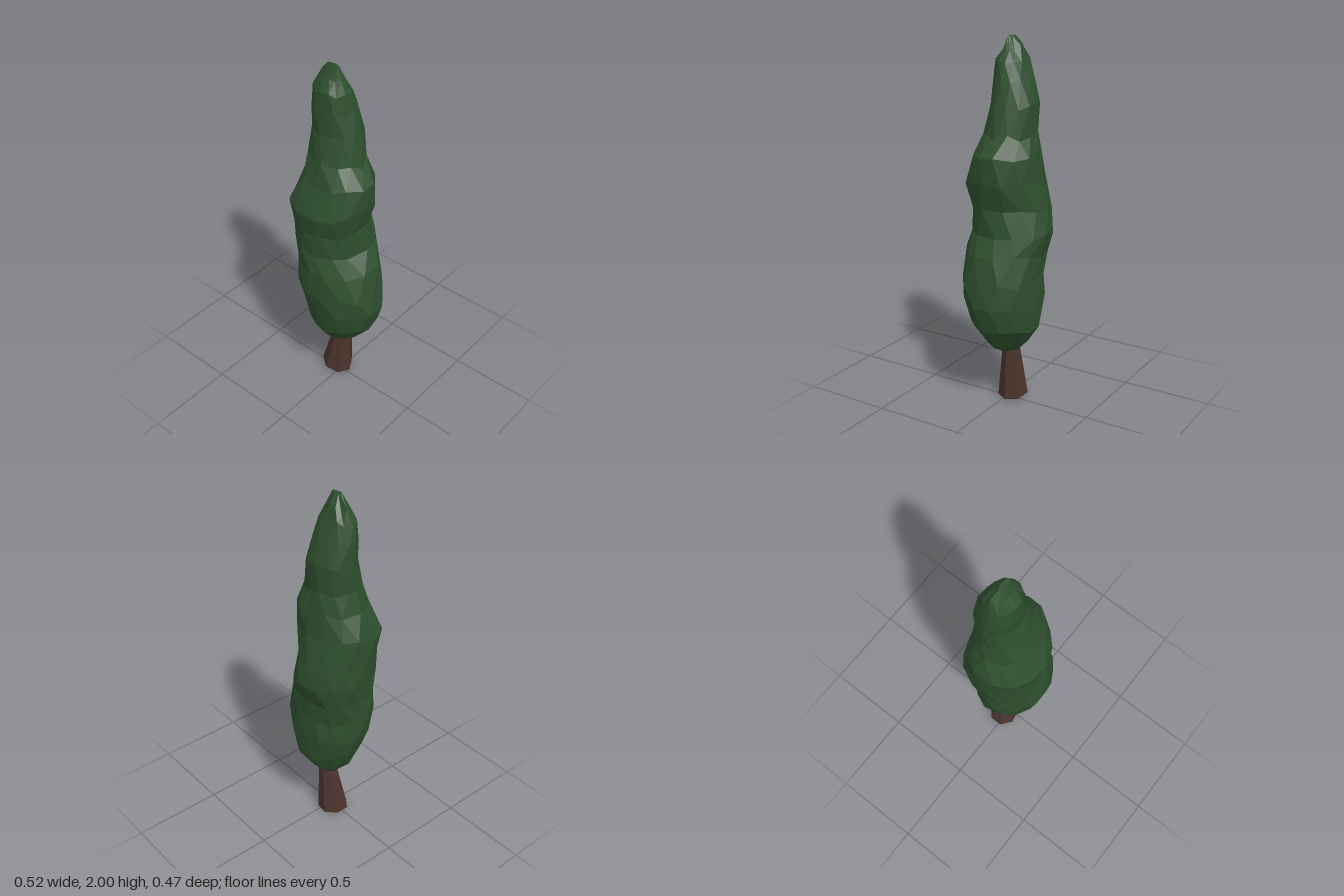
import * as THREE from 'three';

const foliageGreen = new THREE.MeshStandardMaterial({ color: 0x2e4f2e, flatShading: true });
foliageGreen.name = 'foliage green';
const barkBrown = new THREE.MeshStandardMaterial({ color: 0x4a342c, flatShading: true });
barkBrown.name = 'bark brown';

// Small seeded generator, returns -1..1
function seeded(seed) {
  return () => {
    seed = (seed * 16807) % 2147483647;
    return (seed / 2147483647) * 2 - 1;
  };
}

// Closed solid from oval rings; each row is [y, xMin, xMax, zMin, zMax]
function loft(rows, sides, { rough = 0, lift = 0, twist = 0, tilt = 0 } = {}) {
  const rand = seeded(4177);
  const pos = [], index = [];
  const slope = (x) => -tilt * (x + 0.04);
  const last = rows.length - 1;
  rows.forEach(([y, x0, x1, z0, z1], i) => {
    const cx = (x0 + x1) / 2, cz = (z0 + z1) / 2;
    const inner = i > 0 && i < last;
    for (let j = 0; j < sides; j++) {
      const a = ((j + i * twist + rand() * rough * 4) / sides) * Math.PI * 2;
      const r = 1.01 + rand() * rough;
      const x = cx + Math.cos(a) * r * (x1 - x0) / 2;
      const z = cz + Math.sin(a) * r * (z1 - z0) / 2;
      pos.push(x, y + rand() * (inner ? lift : 0) + (i === 0 ? slope(x) : 0), z);
    }
  });
  for (let i = 0; i < last; i++) {
    for (let j = 0; j < sides; j++) {
      const k = (j + 1) % sides;
      const a = i * sides + j, b = i * sides + k, c = a + sides, d = b + sides;
      index.push(a, c, b, b, c, d);
    }
  }
  // End caps
  const end = pos.length / 3;
  [rows[0], rows[last]].forEach(([y, x0, x1, z0, z1], n) => {
    const cx = (x0 + x1) / 2;
    pos.push(cx, y + (n === 0 ? slope(cx) : 0), (z0 + z1) / 2);
  });
  for (let j = 0; j < sides; j++) {
    const k = (j + 1) % sides;
    index.push(end, j, k, end + 1, last * sides + k, last * sides + j);
  }
  const geo = new THREE.BufferGeometry();
  geo.setAttribute('position', new THREE.Float32BufferAttribute(pos, 3));
  geo.setIndex(index);
  const flat = geo.toNonIndexed();
  flat.computeVertexNormals();
  return flat;
}

export function createModel() {
  const group = new THREE.Group();
  group.name = 'cypressTree';

  // Tall lumpy crown: full base, waist, upper bulge and narrow leaning spire
  const crown = [
    [0.29, -0.06, 0.05, -0.06, 0.04],
    [0.345, -0.11, 0.11, -0.12, 0.11],
    [0.46, -0.17, 0.22, -0.18, 0.18],
    [0.6, -0.21, 0.26, -0.2, 0.21],
    [0.73, -0.23, 0.25, -0.2, 0.23],
    [0.86, -0.24, 0.22, -0.2, 0.22],
    [0.98, -0.25, 0.16, -0.235, 0.205],
    [1.11, -0.25, 0.15, -0.21, 0.22],
    [1.25, -0.26, 0.19, -0.18, 0.24],
    [1.39, -0.21, 0.19, -0.17, 0.17],
    [1.5, -0.18, 0.13, -0.145, 0.125],
    [1.65, -0.18, 0.1, -0.15, 0.095],
    [1.78, -0.175, 0.075, -0.11, 0.09],
    [1.87, -0.155, 0.05, -0.08, 0.08],
    [1.94, -0.13, 0.02, -0.05, 0.04],
    [2.0, -0.08, -0.01, -0.012, 0.012],
  ];
  const foliage = new THREE.Mesh(
    loft(crown, 13, { rough: 0.04, lift: 0.02, twist: 0.5 }), foliageGreen);
  foliage.name = 'foliage';

  // Leaning trunk, flared towards a slanted foot
  const trunk = new THREE.Mesh(loft([
    [0.015, -0.13, 0.05, -0.1, 0.065],
    [0.3, -0.06, 0.055, -0.075, 0.02],
    [0.42, -0.045, 0.055, -0.06, 0.02],
  ], 7, { tilt: 0.16 }), barkBrown);
  trunk.name = 'trunk';

  group.add(foliage, trunk);
  return group;
}
